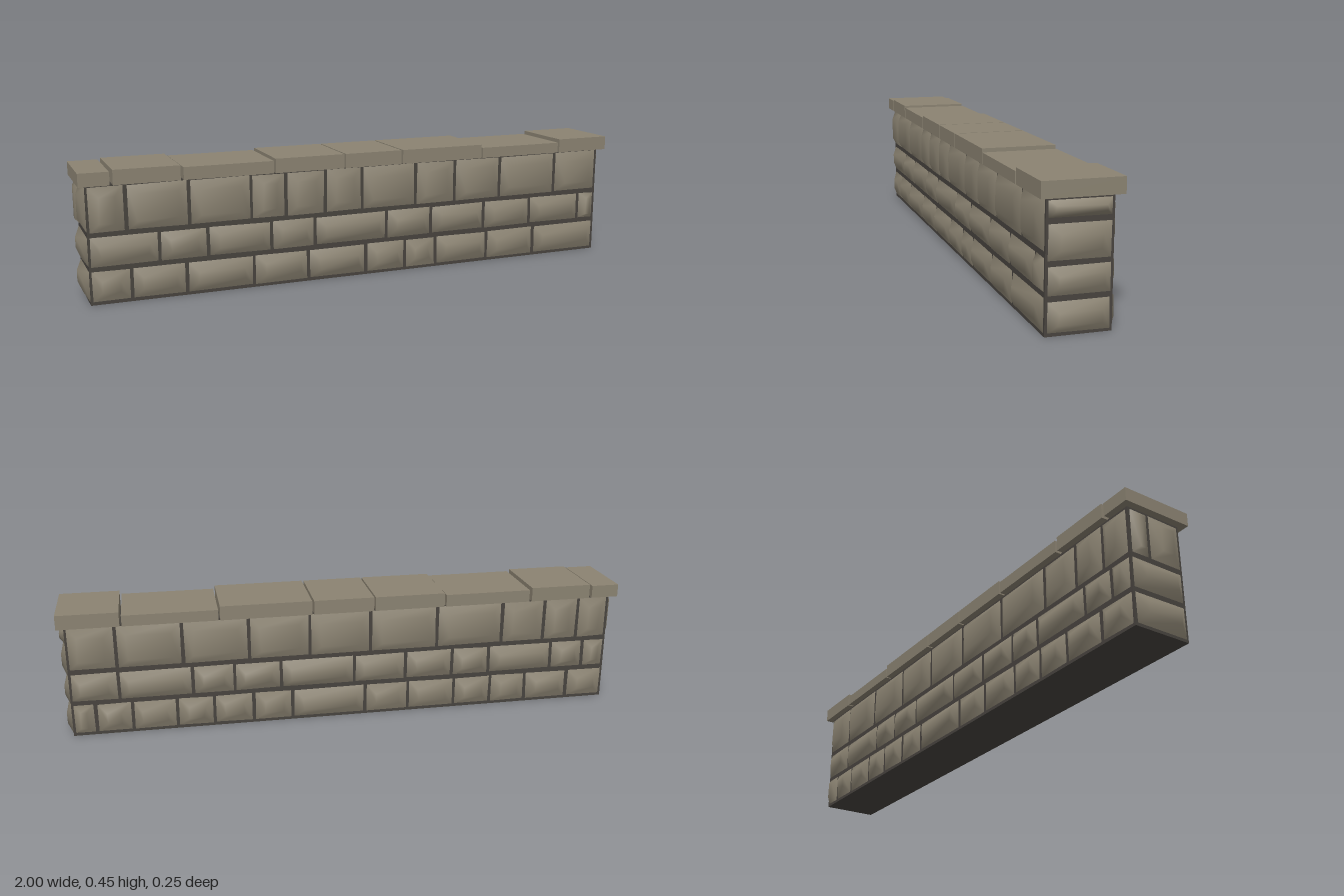
import * as THREE from 'three';

const HX = 0.977, HZ = 0.102; // half length and half depth of the core

// Joint positions along each face, seen facing it, left to right: [bottom, top, joints]
const frontRows = [
  [0.005, 0.118, [-0.975, -0.84, -0.655, -0.42, -0.22, 0, 0.155, 0.28, 0.495, 0.7, 0.975]],
  [0.123, 0.233, [-0.975, -0.745, -0.58, -0.355, -0.195, 0.08, 0.26, 0.48, 0.68, 0.9, 0.975]],
  [0.238, 0.4, [-0.975, -0.85, -0.64, -0.425, -0.3, -0.155, -0.015, 0.195, 0.355, 0.545, 0.785, 0.975]],
];
const backRows = [
  [0.005, 0.118, [-0.975, -0.895, -0.77, -0.615, -0.485, -0.345, -0.205, 0.06, 0.22, 0.395, 0.535, 0.67, 0.835, 0.975]],
  [0.123, 0.233, [-0.975, -0.81, -0.555, -0.41, -0.245, 0.02, 0.21, 0.385, 0.525, 0.765, 0.89, 0.975]],
  [0.238, 0.4, [-0.975, -0.81, -0.585, -0.355, -0.14, 0.08, 0.325, 0.57, 0.73, 0.86, 0.975]],
];
const leftEndRows = [
  [0.004, 0.107, [-0.1, 0.1]],
  [0.112, 0.209, [-0.1, 0.1]],
  [0.212, 0.33, [-0.1, 0.1]],
  [0.334, 0.398, [-0.1, 0.1]],
];
const rightEndRows = [
  [0.005, 0.118, [-0.1, 0.1]],
  [0.123, 0.233, [-0.1, 0.1]],
  [0.238, 0.4, [-0.1, -0.025, 0.1]],
];

// Coping slabs: [start x, end x, top y]
const slabs = [
  [-1, -0.9, 0.445], [-0.89, -0.67, 0.45], [-0.66, -0.35, 0.443], [-0.343, -0.092, 0.45],
  [-0.086, 0.127, 0.45], [0.134, 0.453, 0.45], [0.459, 0.784, 0.438], [0.791, 1, 0.45],
];

function seeded(seed) {
  return () => {
    seed = (seed * 16807) % 2147483647;
    return seed / 2147483647;
  };
}

// Pillow-shaped stone face: outer ring on the wall, smaller ring pushed outward
function stoneGeometry(x0, x1, y0, y1, rand) {
  const gap = 0.006, w = x1 - x0, h = y1 - y0;
  const inset = Math.min(0.032, 0.27 * Math.min(w, h));
  const depth = 0.017 + 0.004 * rand();
  const pos = [];
  for (const [step, z] of [[gap, 0], [gap + inset, depth]]) {
    for (const [sx, sy] of [[0, 0], [1, 0], [1, 1], [0, 1]]) {
      const j = z ? 0.008 : 0.003;
      const dx = step + j * (rand() - 0.5), dy = step + j * (rand() - 0.5);
      pos.push(sx ? x1 - dx : x0 + dx, sy ? y1 - dy : y0 + dy, z);
    }
  }
  const index = [4, 5, 6, 4, 6, 7];
  for (let i = 0; i < 4; i++) {
    const k = (i + 1) % 4;
    index.push(i, k, k + 4, i, k + 4, i + 4);
  }
  const geo = new THREE.BufferGeometry();
  geo.setAttribute('position', new THREE.Float32BufferAttribute(pos, 3));
  geo.setIndex(index);
  geo.computeVertexNormals();
  return geo;
}

export function createModel() {
  const stone = new THREE.MeshStandardMaterial({ color: 0x8b8372 });
  stone.name = 'stone';
  const mortar = new THREE.MeshStandardMaterial({ color: 0x48443f });
  mortar.name = 'mortar';

  const wall = new THREE.Group();
  wall.name = 'stoneWall';
  const rand = seeded(4711);

  // Mortar core
  const core = new THREE.Mesh(new THREE.BoxGeometry(2 * HX, 0.402, 2 * HZ), mortar);
  core.name = 'mortarCore';
  core.position.y = 0.201;
  wall.add(core);

  // Stone courses on all four sides
  function addFace(name, rows, offset, turn) {
    const face = new THREE.Group();
    face.name = name;
    for (const [y0, y1, joints] of rows) {
      for (let i = 0; i < joints.length - 1; i++) {
        const mesh = new THREE.Mesh(stoneGeometry(joints[i], joints[i + 1], y0, y1, rand), stone);
        mesh.name = 'stone';
        mesh.position.z = offset;
        face.add(mesh);
      }
    }
    face.rotation.y = turn;
    wall.add(face);
  }
  addFace('frontStones', frontRows, HZ, 0);
  addFace('backStones', backRows, HZ, Math.PI);
  addFace('leftEndStones', leftEndRows, HX, Math.PI / 2);
  addFace('rightEndStones', rightEndRows, HX, -Math.PI / 2);

  // Coping slabs along the top
  for (const [x0, x1, top] of slabs) {
    const slab = new THREE.Mesh(new THREE.BoxGeometry(x1 - x0, top - 0.4, 0.25), stone);
    slab.name = 'copingSlab';
    slab.position.set((x0 + x1) / 2, (top + 0.4) / 2, 0);
    wall.add(slab);
  }
  return wall;
}
